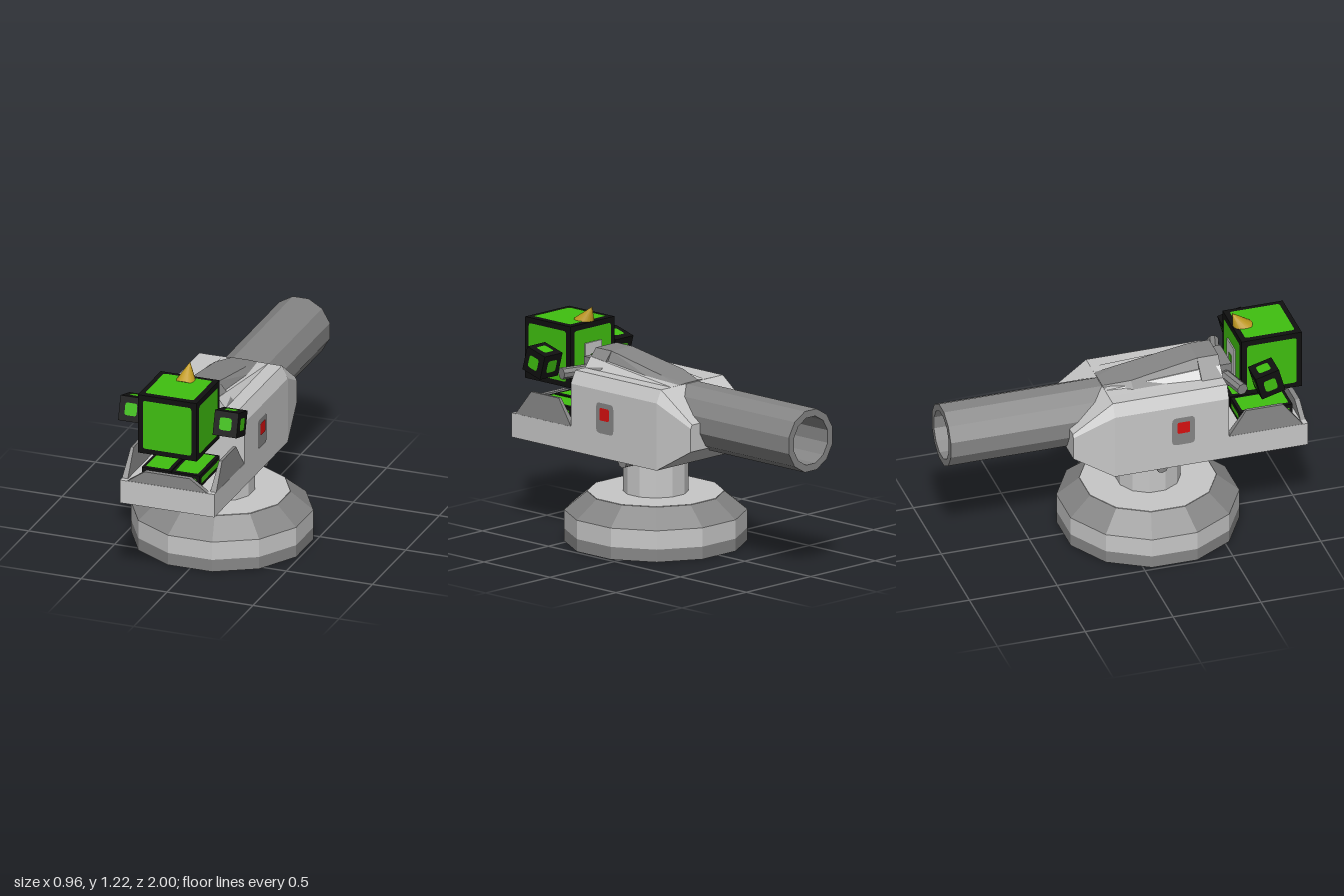
import * as THREE from 'three';

const mat = (name, color) => {
  const m = new THREE.MeshStandardMaterial({ color });
  m.name = name;
  return m;
};

// Split the faces apart so every facet is flat
function flat(g) {
  const out = g.index ? g.toNonIndexed() : g;
  out.computeVertexNormals();
  return out;
}

// Skin cross-sections [z, [[x, y], ...]] ordered by rising z, corners counter-clockwise from +z
function loft(sections) {
  const pos = [];
  const rings = sections.map(([z, pts]) => pts.map(([x, y]) => [x, y, z]));
  const n = rings[0].length;
  const tri = (a, b, c) => pos.push(...a, ...b, ...c);
  for (let r = 0; r < rings.length - 1; r++) {
    const a = rings[r], b = rings[r + 1];
    for (let i = 0; i < n; i++) {
      const j = (i + 1) % n;
      tri(a[i], a[j], b[j]);
      tri(a[i], b[j], b[i]);
    }
  }
  const first = rings[0], last = rings[rings.length - 1];
  for (let i = 1; i < n - 1; i++) {
    tri(first[0], first[i + 1], first[i]);
    tri(last[0], last[i], last[i + 1]);
  }
  const g = new THREE.BufferGeometry();
  g.setAttribute('position', new THREE.Float32BufferAttribute(pos, 3));
  g.computeVertexNormals();
  return g;
}

function roundedRect(w, h, r) {
  const s = new THREE.Shape(), x = w / 2, y = h / 2;
  s.moveTo(-x + r, -y);
  s.lineTo(x - r, -y).quadraticCurveTo(x, -y, x, -y + r);
  s.lineTo(x, y - r).quadraticCurveTo(x, y, x - r, y);
  s.lineTo(-x + r, y).quadraticCurveTo(-x, y, -x, y - r);
  s.lineTo(-x, -y + r).quadraticCurveTo(-x, -y, -x + r, -y);
  return new THREE.ShapeGeometry(s, 3);
}

export function createModel() {
  const root = new THREE.Group();
  root.name = 'cannonWithRobot';
  const light = mat('lightGrey', 0xc8c8c8);
  const mid = mat('midGrey', 0x868686);
  const black = mat('black', 0x101010);
  const green = mat('green', 0x40c010);
  const gold = mat('gold', 0xc09a20);
  const red = mat('red', 0xd81010);

  const add = (name, g, m, p = [0, 0, 0], parent = root) => {
    const mesh = new THREE.Mesh(g, m);
    mesh.name = name;
    mesh.position.set(...p);
    parent.add(mesh);
    return mesh;
  };
  const box = (name, m, x0, x1, y0, y1, z0, z1) => add(name,
    new THREE.BoxGeometry(x1 - x0, y1 - y0, z1 - z0), m, [(x0 + x1) / 2, (y0 + y1) / 2, (z0 + z1) / 2]);

  // Twelve-sided tier of the pedestal
  const tier = (name, m, rBottom, rTop, y0, y1) => {
    const g = new THREE.CylinderGeometry(rTop, rBottom, y1 - y0, 12);
    g.rotateY(Math.PI / 12);
    add(name, flat(g), m, [0, (y0 + y1) / 2, 0.175]);
  };
  tier('baseSkirt', mid, 0.497, 0.497, 0, 0.07);
  tier('baseBand', light, 0.497, 0.497, 0.07, 0.175);
  tier('baseSlope', mid, 0.497, 0.373, 0.175, 0.277);
  tier('baseTop', light, 0.372, 0.372, 0.27, 0.28);
  tier('stem', light, 0.178, 0.178, 0.28, 0.5);

  // Straight rod between two points
  const rod = (name, m, a, b, r, sides = 8) => {
    const va = new THREE.Vector3(...a), vb = new THREE.Vector3(...b);
    const d = vb.clone().sub(va);
    const mesh = add(name, flat(new THREE.CylinderGeometry(r, r, d.length(), sides)), m);
    mesh.position.copy(va).add(vb).multiplyScalar(0.5);
    mesh.quaternion.setFromUnitVectors(new THREE.Vector3(0, 1, 0), d.normalize());
  };
  rod('pivotPin', mid, [-0.26, 0.482, 0.175], [0.26, 0.482, 0.175], 0.033);

  // Housing with chamfered upper edges and a tapered rear
  const section = (w, y0, y1, cx, cy) =>
    [[-w, y0], [w, y0], [w, y1 - cy], [w - cx, y1], [-w + cx, y1], [-w, y1 - cy]];
  add('housing', loft([
    [-0.325, section(0.24, 0.62, 0.77, 0.01, 0.02)],
    [-0.1, section(0.275, 0.485, 0.93, 0.035, 0.07)],
    [0.55, section(0.275, 0.485, 0.93, 0.035, 0.07)],
  ]), light);
  box('tray', light, -0.275, 0.275, 0.485, 0.62, 0.55, 1);

  // Cover on top of the housing: light shoulders and a dark ridge
  const hump = (w, top, y) => [[-w, 0.9], [w, 0.9], [w, 0.93], [top, y], [-top, y], [-w, 0.93]];
  add('coverShoulders', loft([
    [-0.1, hump(0.16, 0.1, 0.931)],
    [0.55, hump(0.165, 0.12, 0.985)],
  ]), light);
  add('coverRidge', loft([
    [-0.1, hump(0.1, 0.05, 0.934)],
    [0.05, hump(0.135, 0.09, 0.962)],
    [0.43, hump(0.135, 0.08, 1.028)],
    [0.431, hump(0.165, 0.08, 1.028)],
    [0.55, hump(0.165, 0.08, 1.028)],
  ]), mid);

  // Hollow barrel
  const profile = [[0.176, 0], [0.176, 1.05], [0.136, 1.05], [0.136, 0.25], [0, 0.25]]
    .map(([x, y]) => new THREE.Vector2(x, y));
  const barrel = new THREE.LatheGeometry(profile, 12);
  barrel.rotateY(Math.PI / 12);
  barrel.rotateX(-Math.PI / 2);
  add('barrel', flat(barrel), mid, [0, 0.759, 0.05]);

  // Tray fins, thinner towards the top
  for (const s of [-1, 1]) {
    const shape = new THREE.Shape([[-0.97, 0.62], [-0.86, 0.76], [-0.65, 0.76], [-0.55, 0.62]]
      .map(([x, y]) => new THREE.Vector2(x, y)).reverse());
    const g = new THREE.ExtrudeGeometry(shape, { depth: 0.034, bevelEnabled: false });
    g.translate(0, 0, -0.017);
    g.rotateY(Math.PI / 2);
    const p = g.attributes.position;
    for (let i = 0; i < p.count; i++) p.setX(i, p.getX(i) * (p.getY(i) > 0.7 ? 0.5 : 1));
    add('sideFin', flat(g), mid, [s * 0.257, 0, 0]);
  }
  const lip = (y) => [[-0.24, 0.615], [0.24, 0.615], [0.13, y], [-0.13, y]];
  add('frontFin', loft([[0.97, lip(0.69)], [0.998, lip(0.69)]]), mid);

  // Side indicator panels
  for (const s of [-1, 1]) {
    const panel = add('indicatorPanel', roundedRect(0.13, 0.17, 0.025), mid, [s * 0.278, 0.707, 0.29]);
    const lamp = add('indicatorLamp', roundedRect(0.07, 0.07, 0.008), red, [s * 0.282, 0.73, 0.29]);
    panel.rotation.y = lamp.rotation.y = s * Math.PI / 2;
  }

  // Black block with a rounded green panel on each face
  const framed = (name, w, h, d, margin, p) => {
    const group = new THREE.Group();
    group.name = name;
    group.position.set(...p);
    root.add(group);
    add(name + 'Frame', new THREE.BoxGeometry(w, h, d), black, [0, 0, 0], group);
    const q = Math.PI / 2;
    const faces = [[w, h, d, 0, 0], [w, h, d, 0, 2 * q], [d, h, w, 0, q], [d, h, w, 0, -q],
      [w, d, h, -q, 0], [w, d, h, q, 0]];
    for (const [a, b, depth, rx, ry] of faces) {
      const g = roundedRect(a - 2 * margin, b - 2 * margin, Math.min(0.015, margin / 2));
      g.translate(0, 0, depth / 2 + 0.003);
      g.rotateX(rx);
      g.rotateY(ry);
      add(name + 'Panel', g, green, [0, 0, 0], group);
    }
    return group;
  };

  // Robot: head, hands, feet, arms
  framed('head', 0.342, 0.342, 0.342, 0.03, [0, 0.969, 0.826]);
  for (const s of [-1, 1]) {
    framed('hand', 0.138, 0.138, 0.138, 0.034, [s * 0.275, 0.95, 0.764]).rotation.x = -0.27;
    framed('foot', 0.165, 0.07, 0.3, 0.018, [s * 0.086, 0.655, 0.795]);
    rod('arm', mid, [s * 0.1, 0.9, 0.585], [s * 0.265, 0.9, 0.63], 0.033);
  }
  rod('shoulderBar', mid, [-0.11, 0.9, 0.585], [0.11, 0.9, 0.585], 0.034);
  box('mountBlock', mid, -0.1, 0.1, 0.83, 0.97, 0.54, 0.62);
  box('backPlate', light, -0.065, 0.065, 0.86, 1.03, 0.645, 0.654);
  box('backPlateLight', green, -0.022, 0.022, 0.92, 0.965, 0.641, 0.646);

  // Horn leaning backwards
  const horn = add('horn', new THREE.ConeGeometry(0.062, 0.12, 16), gold, [0, 1.172, 0.685]);
  horn.rotation.x = -0.52;

  return root;
}
